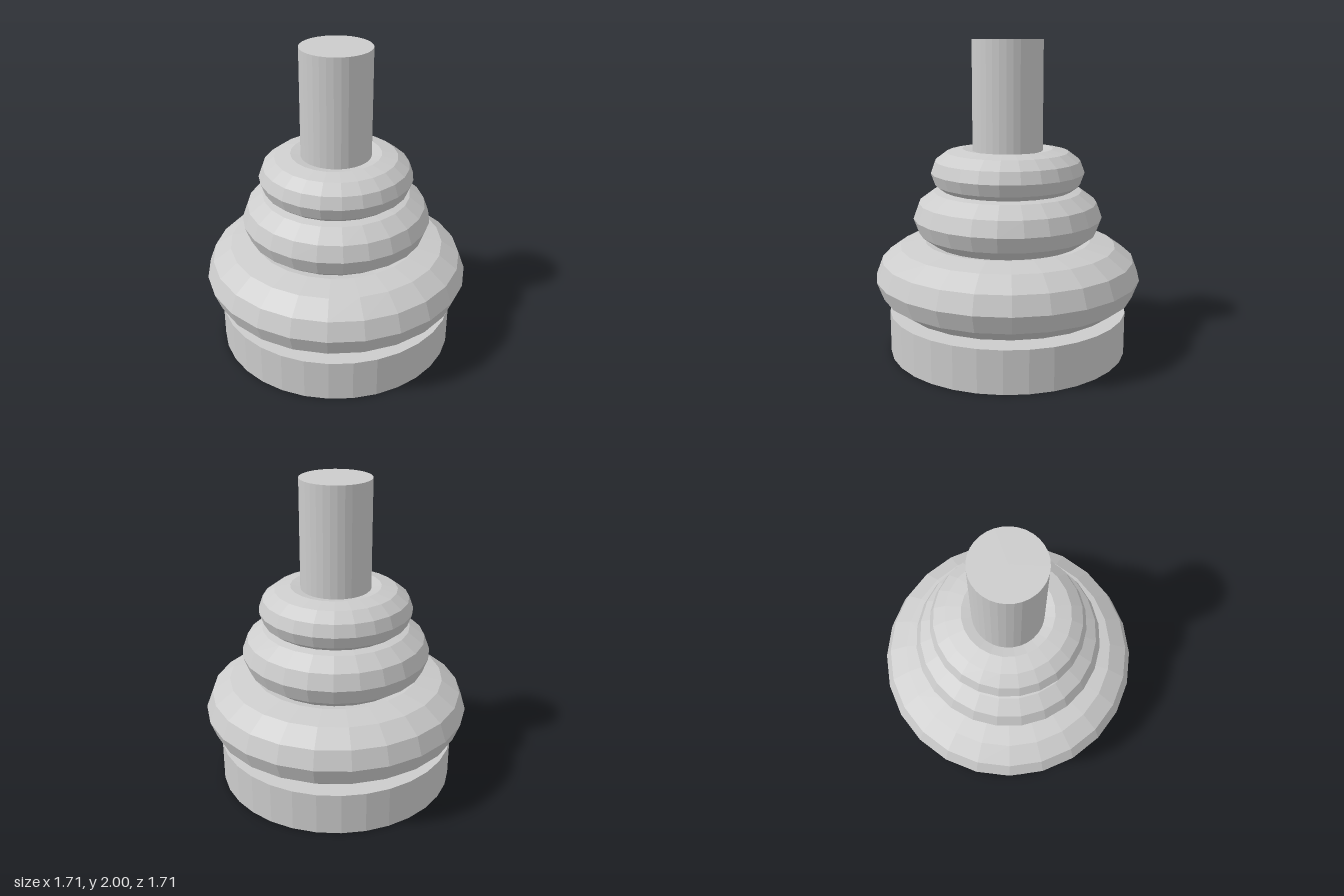
import * as THREE from 'three';

const material = new THREE.MeshStandardMaterial({ color: 0xcccccc, flatShading: true });

function addPart(group, name, geometry, y) {
  const mesh = new THREE.Mesh(geometry, material);
  mesh.name = name;
  mesh.position.y = y;
  group.add(mesh);
}

// Flattened ring: 12-sided tube swept round 24 segments
function ringGeometry(radius, tubeWidth, tubeHeight, turn) {
  return new THREE.TorusGeometry(radius, tubeWidth, 12, 24)
    .rotateX(Math.PI / 2)
    .rotateY(turn)
    .scale(1, tubeHeight / tubeWidth, 1);
}

export function createModel() {
  const group = new THREE.Group();
  group.name = 'ringedPedestal';

  // Base disc
  addPart(group, 'base', new THREE.CylinderGeometry(0.77, 0.77, 0.273, 32), 0.1365);

  // Three stacked rings; the upper two are turned by half a segment
  const half = Math.PI / 24;
  const rings = [
    ['lowerRing', 0.5, 0.535, 0.32, 0.228, 0],
    ['middleRing', 0.881, 0.341, 0.265, 0.195, half],
    ['upperRing', 1.169, 0.288, 0.203, 0.151, half],
  ];
  for (const [name, y, radius, width, height, turn] of rings) {
    addPart(group, name, ringGeometry(radius, width, height, turn), y);
  }

  // Central shaft, running down through the rings
  addPart(group, 'shaft', new THREE.CylinderGeometry(0.224, 0.224, 0.9, 32), 1.55);

  return group;
}
